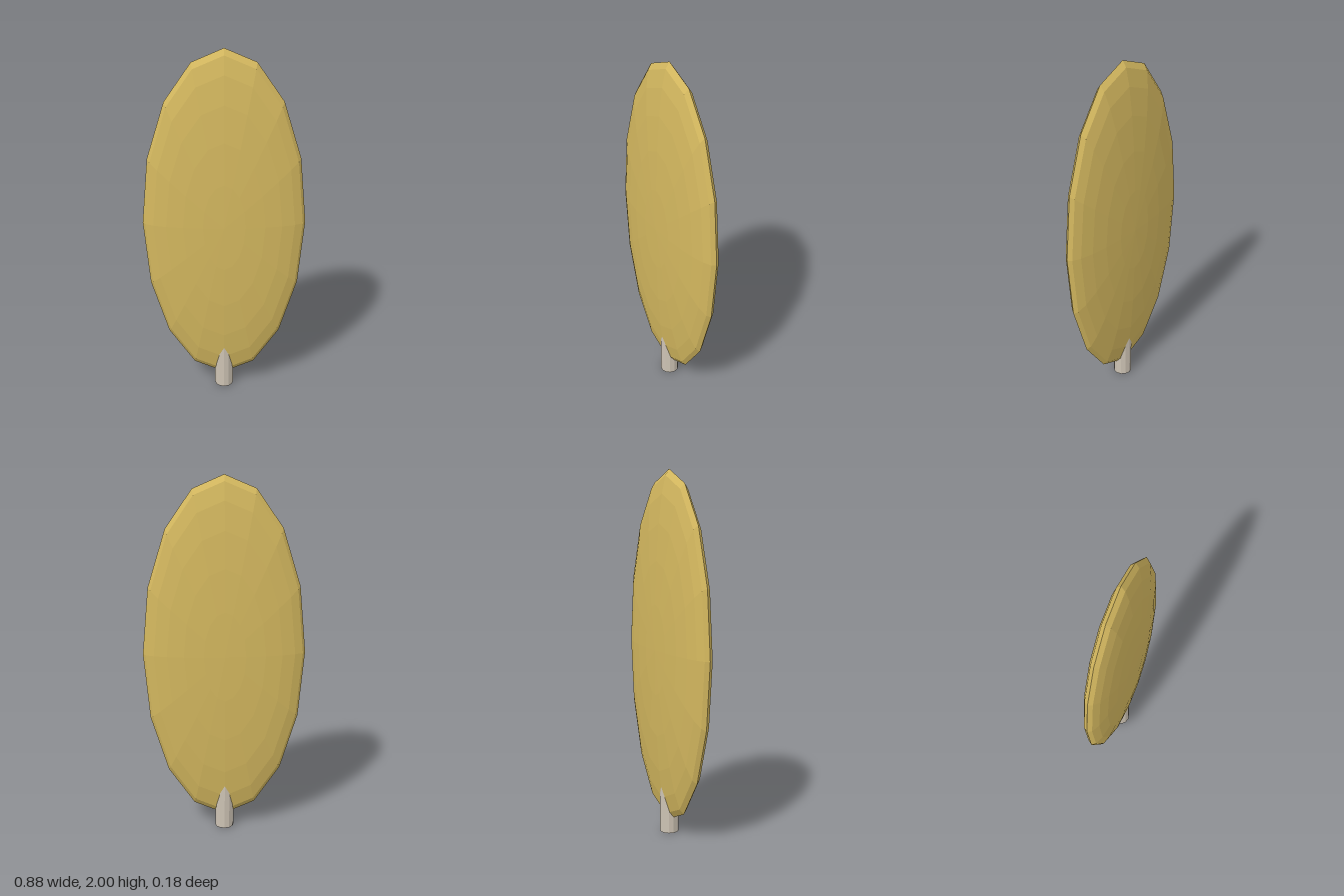
import * as THREE from 'three';

export function createModel() {
  const model = new THREE.Group();
  const gold = new THREE.MeshStandardMaterial({ color: 0xd4b85f, flatShading: true });
  gold.name = 'gold';
  const stone = new THREE.MeshStandardMaterial({ color: 0xcdc3b4, flatShading: true });
  stone.name = 'pale grey';

  // Flattened faceted oval, poles facing front and back
  const oval = new THREE.SphereGeometry(1, 16, 12);
  oval.rotateX(Math.PI / 2);
  oval.scale(0.442, 0.965, 0.089);
  const blade = new THREE.Mesh(oval, gold);
  blade.name = 'blade';
  blade.position.y = 1.035;
  model.add(blade);

  // Short round stem running up into the blade
  const stem = new THREE.Mesh(new THREE.CylinderGeometry(0.052, 0.052, 0.3, 12), stone);
  stem.name = 'stem';
  stem.position.y = 0.15;
  model.add(stem);

  return model;
}
